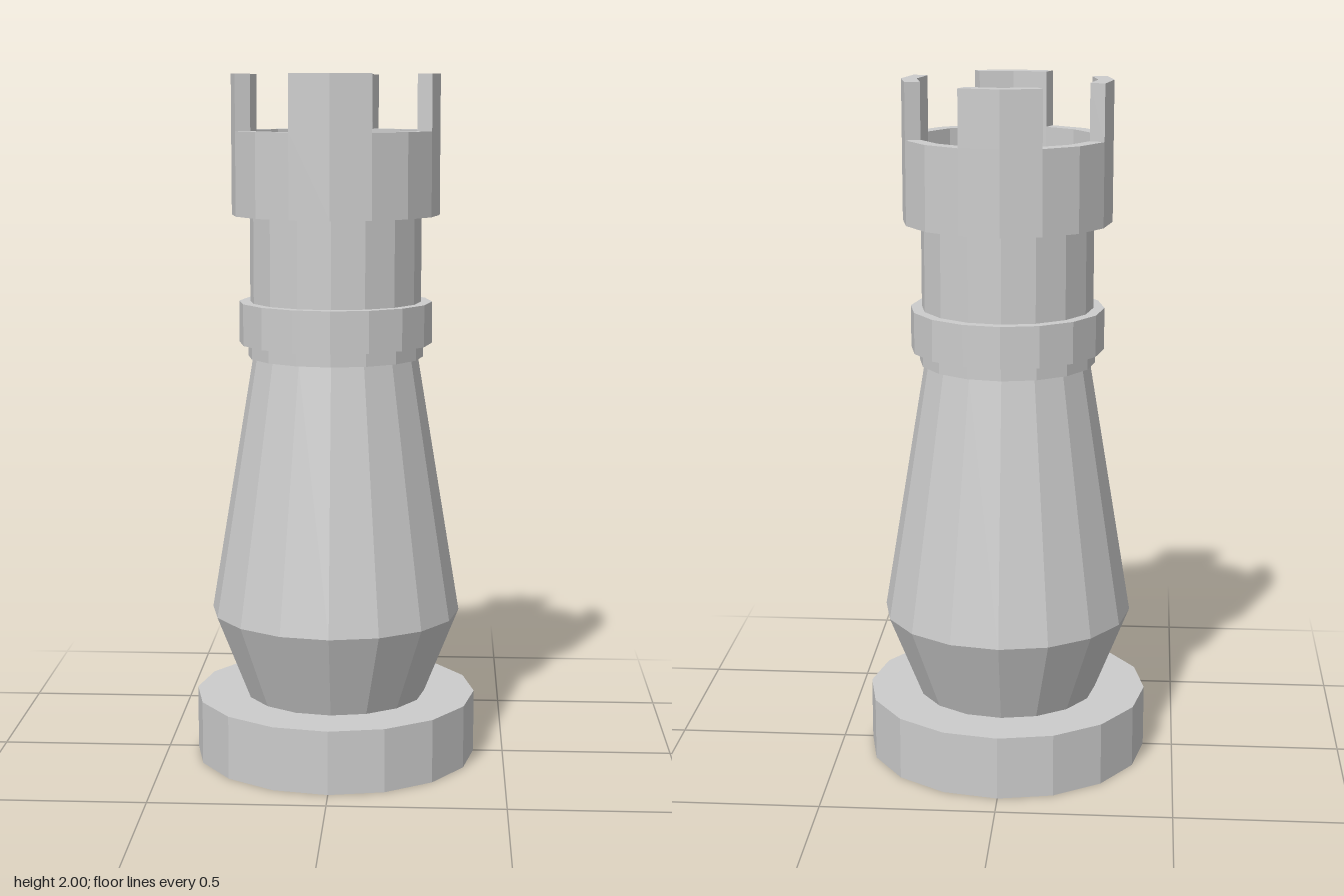
import * as THREE from 'three';

const SIDES = 16;
const R_OUT = 0.3, R_IN = 0.255;      // battlement wall radii
const RIM_Y = 1.84, TOP_Y = 2;

const material = new THREE.MeshStandardMaterial({ color: 0xcccccc, flatShading: true });

// Faceted turned part from [radius, height] pairs, listed bottom to top along the outside
function turned(name, profile) {
  const points = profile.map(([r, y]) => new THREE.Vector2(r, y));
  const mesh = new THREE.Mesh(new THREE.LatheGeometry(points, SIDES), material);
  mesh.name = name;
  return mesh;
}

// One battlement block: a two-facet sector of the wall, centred on +x
function merlonGeometry() {
  const at = (r, k) => {
    const a = (k * Math.PI * 2) / SIDES;
    return new THREE.Vector2(r * Math.cos(a), r * Math.sin(a));
  };
  const outer = [-1, 0, 1].map((k) => at(R_OUT, k));
  const inner = [1, 0, -1].map((k) => at(R_IN, k));
  const geometry = new THREE.ExtrudeGeometry(new THREE.Shape([...outer, ...inner]), {
    depth: TOP_Y - RIM_Y,
    bevelEnabled: false,
  });
  return geometry.rotateX(-Math.PI / 2).translate(0, RIM_Y, 0);
}

export function createModel() {
  const group = new THREE.Group();
  group.name = 'rook';

  // Foot, flared body and stacked collars
  group.add(
    turned('base', [[0, 0], [0.413, 0], [0.413, 0.185], [0, 0.185]]),
    turned('body', [[0.265, 0.185], [0.365, 0.435], [0.24, 1.19]]),
    turned('lowerRing', [[0.2, 1.19], [0.255, 1.19], [0.255, 1.23]]),
    turned('collar', [[0.2, 1.23], [0.28, 1.23], [0.28, 1.35], [0.2, 1.35]]),
    turned('neck', [[0.248, 1.35], [0.248, 1.6]]),
    // Hollow turret with a sunken floor
    turned('turret', [[0.2, 1.6], [R_OUT, 1.6], [R_OUT, RIM_Y], [R_IN, RIM_Y], [R_IN, 1.68], [0, 1.68]]),
  );

  // Four battlements facing the front, back and sides
  const geometry = merlonGeometry();
  for (let i = 0; i < 4; i++) {
    const merlon = new THREE.Mesh(geometry, material);
    merlon.name = `battlement${i + 1}`;
    merlon.rotation.y = (i * Math.PI) / 2;
    group.add(merlon);
  }
  return group;
}
